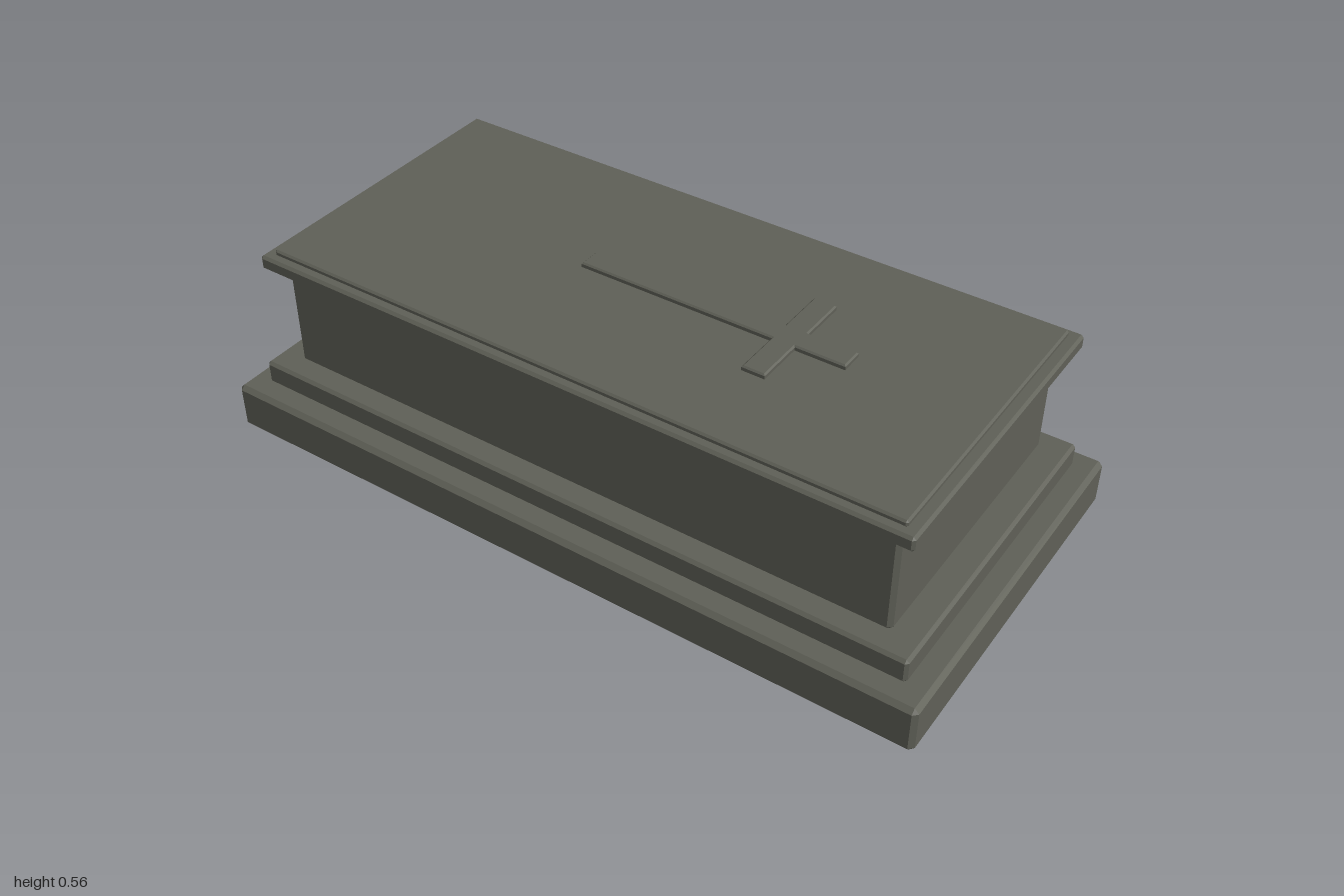
import * as THREE from 'three';
import { ConvexGeometry } from 'three/addons/geometries/ConvexGeometry.js';

const stone = new THREE.MeshStandardMaterial({ color: 0x5f6057 });
stone.name = 'dark grey stone';

// Box with every edge cut by a flat bevel, standing between heights y0 and y1
function bevelledSlab(name, halfX, y0, y1, halfZ, bevel) {
  const half = [halfX, (y1 - y0) / 2, halfZ];
  const points = [];
  for (const sx of [-1, 1]) for (const sy of [-1, 1]) for (const sz of [-1, 1]) {
    for (let axis = 0; axis < 3; axis++) {
      const [x, y, z] = half.map((h, i) => (i === axis ? h : h - bevel));
      points.push(new THREE.Vector3(sx * x, sy * y, sz * z));
    }
  }
  const mesh = new THREE.Mesh(new ConvexGeometry(points), stone);
  mesh.name = name;
  mesh.position.y = (y0 + y1) / 2;
  return mesh;
}

// Raised cross lying on the lid, its head towards +x
function reliefCross() {
  const foot = -0.21, head = 0.53, armStart = 0.335, armEnd = 0.397, w = 0.031, arm = 0.163;
  const outline = [
    [foot, -w], [armStart, -w], [armStart, -arm], [armEnd, -arm], [armEnd, -w], [head, -w],
    [head, w], [armEnd, w], [armEnd, arm], [armStart, arm], [armStart, w], [foot, w],
  ].map(([x, y]) => new THREE.Vector2(x, y));
  const bevel = 0.004;
  const geometry = new THREE.ExtrudeGeometry(new THREE.Shape(outline), {
    depth: 0.009, bevelEnabled: true, bevelSegments: 1,
    bevelThickness: bevel, bevelSize: bevel, bevelOffset: -bevel,
  });
  geometry.rotateX(-Math.PI / 2);
  const mesh = new THREE.Mesh(geometry, stone);
  mesh.name = 'reliefCross';
  mesh.position.y = 0.545;
  return mesh;
}

export function createModel() {
  const tomb = new THREE.Group();
  tomb.name = 'stoneTomb';
  tomb.add(
    bevelledSlab('basePlinth', 1, 0, 0.131, 0.5, 0.012),
    bevelledSlab('upperStep', 0.941, 0.131, 0.198, 0.441, 0.008),
    bevelledSlab('chestBody', 0.868, 0.198, 0.49, 0.384, 0.011),
    bevelledSlab('lidCornice', 0.916, 0.49, 0.53, 0.426, 0.007),
    bevelledSlab('lidPanel', 0.886, 0.527, 0.545, 0.402, 0.005),
    reliefCross(),
  );
  return tomb;
}
